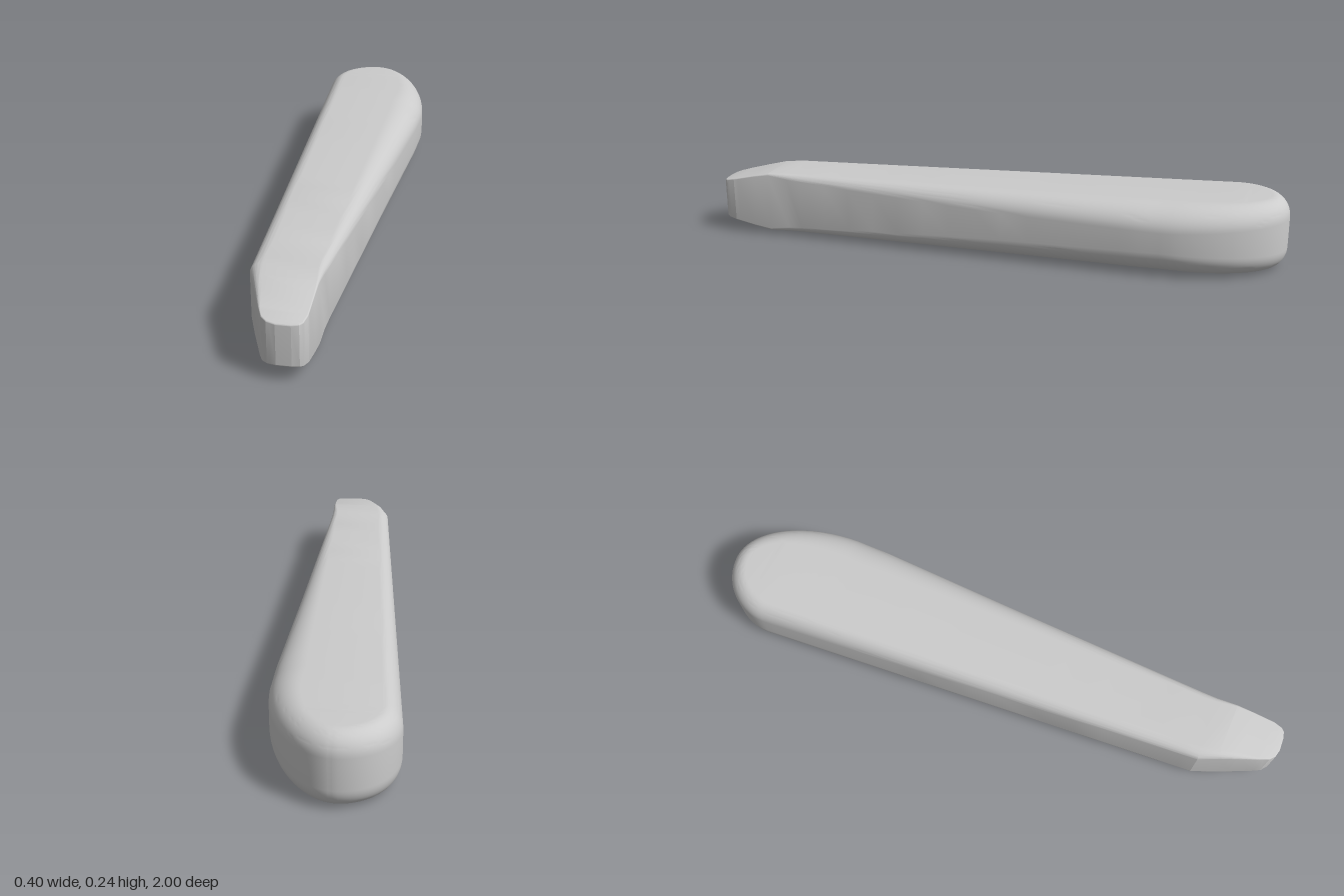
import * as THREE from 'three';
import { toCreasedNormals } from 'three/addons/utils/BufferGeometryUtils.js';

// Piecewise linear lookup through [z, value] pairs
function lerpTable(table, z) {
  if (z <= table[0][0]) return table[0][1];
  for (let i = 1; i < table.length; i++) {
    const [z0, a] = table[i - 1], [z1, b] = table[i];
    if (z <= z1) return a + (b - a) * (z - z0) / (z1 - z0);
  }
  return table[table.length - 1][1];
}

// Plan outline: elliptical butt at the back, straight taper, clipped tip
const RIGHT_SIDE = [[-0.82, -0.2], [0.75, -0.155], [0.94, -0.085], [0.975, -0.07], [0.992, -0.052], [1, -0.025]];
const LEFT_SIDE = [[-0.62, 0.2], [-0.5, 0.193], [0.75, 0.067], [0.955, 0.06], [0.985, 0.052], [0.995, 0.042], [1, 0.02]];
const arc = (z, rx, rz) => rx * Math.sqrt(Math.max(0, 1 - ((z + 1 - rz) / rz) ** 2));
const rightX = z => z < -0.82 ? -0.02 - arc(z, 0.18, 0.18) : lerpTable(RIGHT_SIDE, z);
const leftX = z => z < -0.62 ? -0.02 + arc(z, 0.22, 0.38) : lerpTable(LEFT_SIDE, z);

// Half thickness, and how far the edge rounding reaches in plan and in height
const MID = 0.1225;
const HALF = [[-1, 0.1225], [0.82, 0.107], [1, 0.068]];
const RIGHT_REACH = [[-1, 0.06], [0.75, 0.042], [0.95, 0.004]];
const LEFT_REACH = [[-1, 0.06], [-0.6, 0.11], [0, 0.07], [0.7, 0.025], [0.85, 0.004]];
const RIGHT_DROP = [[-1, 0.07], [-0.8, 0.08], [0.75, 0.032], [0.95, 0.004]];
const LEFT_DROP = [[-1, 0.07], [-0.6, 0.085], [0, 0.065], [0.7, 0.025], [0.85, 0.004]];

function outlineRing() {
  const zs = [];
  for (let i = 1; i <= 16; i++) zs.push(-0.82 - 0.18 * Math.cos(i / 16 * Math.PI / 2));
  for (let i = 1; i <= 12; i++) zs.push(-0.82 + i * 0.4 / 12);
  for (let i = 1; i <= 12; i++) zs.push(-0.42 + i * 1.12 / 12);
  zs.push(0.75, 0.82, 0.88, 0.94, 0.955, 0.975, 0.985, 0.992, 0.995, 1);
  const point = (x, z, reach, drop) => ({ x, z, reach: lerpTable(reach, z), drop: lerpTable(drop, z) });
  return [
    point(-0.02, -1, RIGHT_REACH, RIGHT_DROP),
    ...zs.map(z => point(rightX(z), z, RIGHT_REACH, RIGHT_DROP)),
    ...zs.reverse().map(z => point(leftX(z), z, LEFT_REACH, LEFT_DROP)),
  ];
}

function bodyGeometry() {
  const ring = outlineRing(), n = ring.length, steps = 12;
  const layers = [];
  for (let k = 0; k <= steps; k++) layers.push([1, (1 - k / steps) * Math.PI / 2]);
  for (let k = 0; k <= steps; k++) layers.push([-1, k / steps * Math.PI / 2]);

  // Each layer is the outline pulled inwards along a rounded edge
  const positions = [], index = [];
  for (const [sign, angle] of layers) {
    ring.forEach((p, i) => {
      const a = ring[(i + n - 1) % n], b = ring[(i + 1) % n];
      const dx = b.x - a.x, dz = b.z - a.z, len = Math.hypot(dx, dz);
      const inset = p.reach * (1 - Math.cos(angle));
      const x = p.x + dz / len * inset, z = p.z - dx / len * inset;
      const h = lerpTable(HALF, z) - p.drop * (1 - Math.sin(angle));
      positions.push(x, MID + sign * h, z);
    });
  }

  // Side wall and rounded rims
  for (let k = 0; k < layers.length - 1; k++) {
    for (let i = 0; i < n; i++) {
      const j = (i + 1) % n, u = k * n, v = u + n;
      index.push(u + i, v + i, v + j, u + i, v + j, u + j);
    }
  }

  // Top and bottom faces, strips across the width
  const bottom = (layers.length - 1) * n;
  for (let i = 0; i < (n - 1) / 2; i++) {
    const a = i, b = i + 1, c = n - i - 1, d = (n - i) % n;
    index.push(a, b, c);
    index.push(bottom + a, bottom + c, bottom + b);
    if (i > 0) {
      index.push(a, c, d);
      index.push(bottom + a, bottom + d, bottom + c);
    }
  }

  const geometry = new THREE.BufferGeometry();
  geometry.setAttribute('position', new THREE.Float32BufferAttribute(positions, 3));
  geometry.setIndex(index);
  return toCreasedNormals(geometry, 0.22);
}

export function createModel() {
  const group = new THREE.Group();
  group.name = 'taperedHandle';
  const body = new THREE.Mesh(bodyGeometry(), new THREE.MeshStandardMaterial({ color: 0xcccccc }));
  body.name = 'handleBody';
  group.add(body);
  return group;
}
